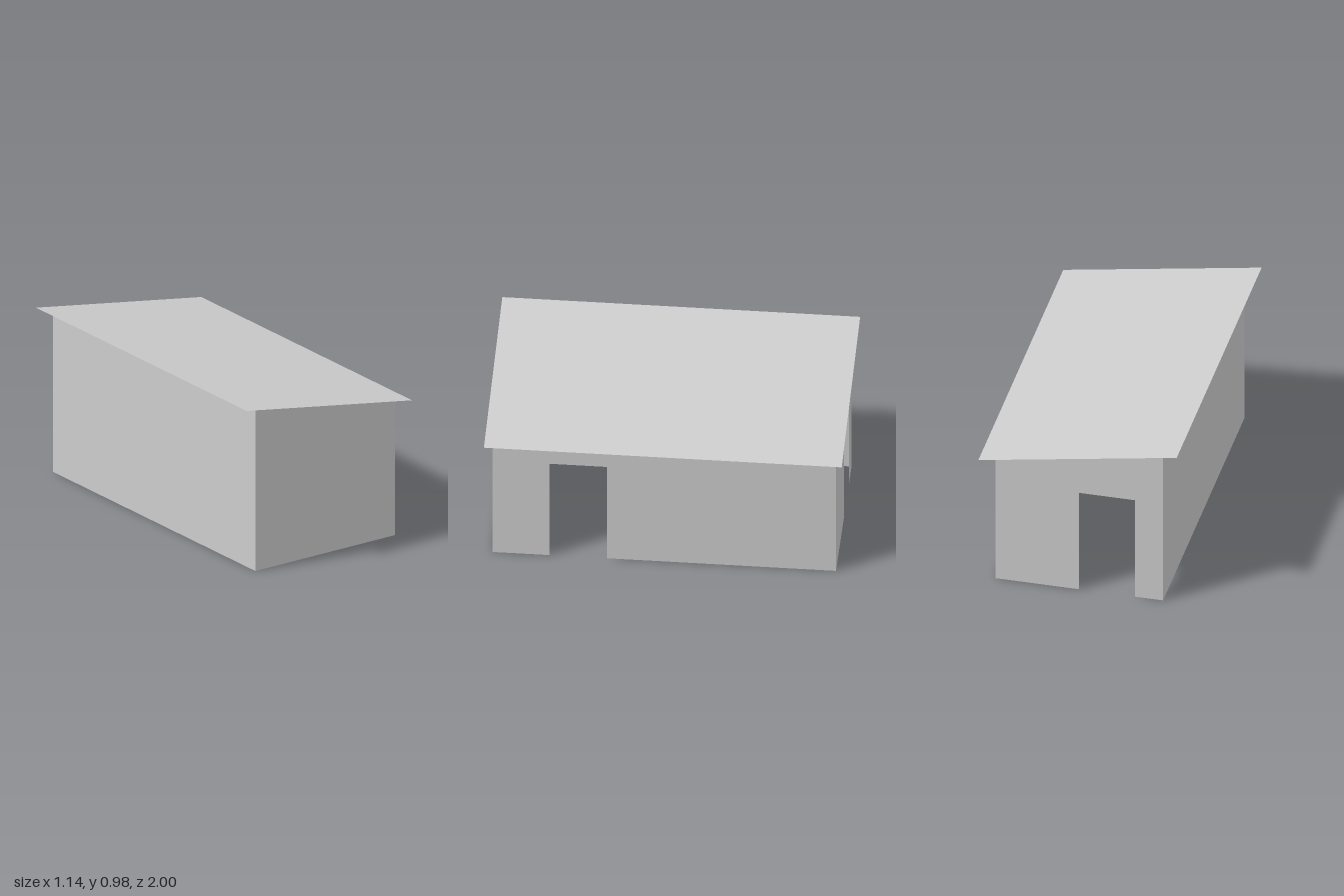
import * as THREE from 'three';

const HALF_W = 0.48, HALF_D = 0.96; // wall footprint
const HIGH = 0.96, LOW = 0.8;       // wall heights at the -x and +x sides
const DOOR_H = 0.64;

export function createModel() {
  const group = new THREE.Group();
  const material = new THREE.MeshStandardMaterial({
    color: 0xcccccc, flatShading: true, side: THREE.DoubleSide,
  });

  // Thin upright wall facing outward, with an optional doorway from door[0] to door[1]
  function addWall(name, half, hLeft, hRight, angle, distance, door) {
    const outline = [[-half, 0]];
    if (door) {
      outline.push([door[0], 0], [door[0], DOOR_H], [door[1], DOOR_H], [door[1], 0]);
    }
    outline.push([half, 0], [half, hRight], [-half, hLeft]);
    const shape = new THREE.Shape(outline.map(([x, y]) => new THREE.Vector2(x, y)));
    const geometry = new THREE.ShapeGeometry(shape);
    geometry.translate(0, 0, distance);
    geometry.rotateY(angle);
    const wall = new THREE.Mesh(geometry, material);
    wall.name = name;
    group.add(wall);
  }

  addWall('frontWall', HALF_W, HIGH, LOW, 0, HALF_D);
  addWall('backWall', HALF_W, LOW, HIGH, Math.PI, HALF_D, [0, 0.32]);
  addWall('lowSideWall', HALF_D, LOW, LOW, Math.PI / 2, HALF_W, [-0.64, -0.32]);
  addWall('highSideWall', HALF_D, HIGH, HIGH, -Math.PI / 2, HALF_W);

  // Overhanging sheet roof, sloping down toward +x
  const slope = Math.atan((HIGH - LOW) / (2 * HALF_W));
  const roofGeometry = new THREE.PlaneGeometry(1.152, 2);
  roofGeometry.rotateX(-Math.PI / 2);
  roofGeometry.rotateZ(-slope);
  const roof = new THREE.Mesh(roofGeometry, material);
  roof.name = 'roof';
  roof.position.y = 0.89;
  group.add(roof);

  return group;
}
